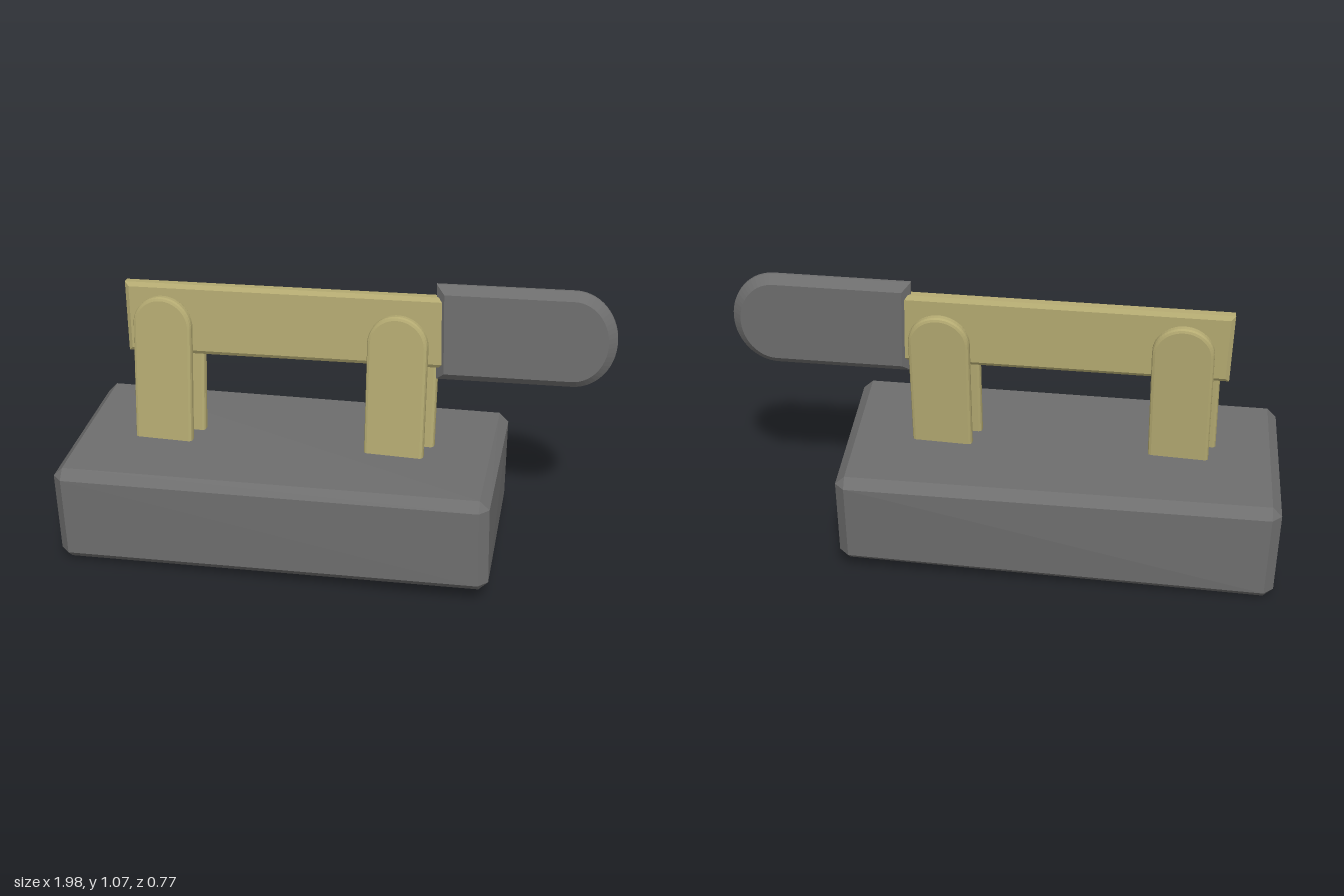
import * as THREE from 'three';
import { ConvexGeometry } from 'three/addons/geometries/ConvexGeometry.js';

const DARK = new THREE.MeshStandardMaterial({ color: 0x6e6e6e, flatShading: true });
const BRASS = new THREE.MeshStandardMaterial({ color: 0xb5ab72, flatShading: true });

function part(name, geometry, material) {
  const mesh = new THREE.Mesh(geometry, material);
  mesh.name = name;
  return mesh;
}

// Bevelled plate centred on z = 0; the shape is the outline inside the bevel
function plate(shape, depth, bevelSize, bevelThickness, bevelSegments = 1) {
  const geometry = new THREE.ExtrudeGeometry(shape, {
    depth, bevelEnabled: true, bevelSize, bevelThickness, bevelSegments, curveSegments: 14,
  });
  return geometry.translate(0, 0, -depth / 2);
}

// Slightly skewed block with chamfered edges, given its eight corners
function chamferedBlock(corners, size, chamfer) {
  const at = (u, v, w) => {
    const p = new THREE.Vector3();
    corners.forEach((c, i) => {
      const k = (i & 1 ? u : 1 - u) * (i & 2 ? v : 1 - v) * (i & 4 ? w : 1 - w);
      p.addScaledVector(new THREE.Vector3(...c), k);
    });
    return p;
  };
  const points = [];
  for (let i = 0; i < 8; i++) {
    for (let keep = 0; keep < 3; keep++) {
      const t = [0, 1, 2].map((axis) => {
        const inset = axis === keep ? 0 : chamfer / size[axis];
        return i & (1 << axis) ? 1 - inset : inset;
      });
      points.push(at(...t));
    }
  }
  return new ConvexGeometry(points);
}

// Upright post with a round top, standing on y = 0
function postGeometry() {
  const bevel = 0.012, r = 0.11 - bevel, straight = 0.54;
  const s = new THREE.Shape();
  s.moveTo(-r, 0);
  s.lineTo(r, 0);
  s.lineTo(r, straight);
  s.absarc(0, straight, r, 0, Math.PI, false);
  s.closePath();
  return plate(s, 0.016, bevel, 0.011, 2);
}

export function createModel() {
  const model = new THREE.Group();
  model.name = 'knifeSwitch';

  // Base block: order is x, then y, then z
  model.add(part('base', chamferedBlock([
    [-0.98, 0.0, -0.385], [0.6, 0.045, -0.335],
    [-0.99, 0.385, -0.385], [0.6, 0.415, -0.365],
    [-0.985, 0.005, 0.355], [0.61, 0.065, 0.385],
    [-0.995, 0.385, 0.36], [0.6, 0.425, 0.375],
  ], [1.59, 0.38, 0.74], 0.035), DARK));

  // Two leaning pairs of posts that hold the blade
  const post = postGeometry();
  for (const [side, x, z] of [['right', -0.635, 0], ['left', 0.23, 0.006]]) {
    for (const [face, dx, dz] of [['Front', -0.014, 0.052], ['Back', 0.014, -0.04]]) {
      const p = part(side + face + 'Post', post, BRASS);
      p.position.set(x + dx, 0.3, z + dz);
      p.rotation.set(-0.085, -0.06, 0, 'YXZ');
      model.add(p);
    }
  }

  // Blade and handle tilt together
  const lever = new THREE.Group();
  lever.name = 'lever';
  lever.position.set(-0.215, 0.863, -0.04);
  lever.rotation.set(-0.05, 0, 0.027);
  model.add(lever);

  const bar = new THREE.Shape();
  bar.moveTo(-0.56, -0.12);
  bar.lineTo(0.6, -0.12);
  bar.lineTo(0.6, 0.12);
  bar.lineTo(-0.56, 0.12);
  bar.closePath();
  lever.add(part('blade', plate(bar, 0.026, 0.015, 0.01), BRASS));

  // Flat grip with a rounded end
  const grip = new THREE.Shape();
  const h = 0.152;
  grip.moveTo(0.595, -h);
  grip.lineTo(1.05, -h);
  grip.absellipse(1.05, 0, 0.124, h, -Math.PI / 2, Math.PI / 2, false, 0);
  grip.lineTo(0.595, h);
  grip.closePath();
  lever.add(part('handle', plate(grip, 0.01, 0.03, 0.026), DARK));

  return model;
}
